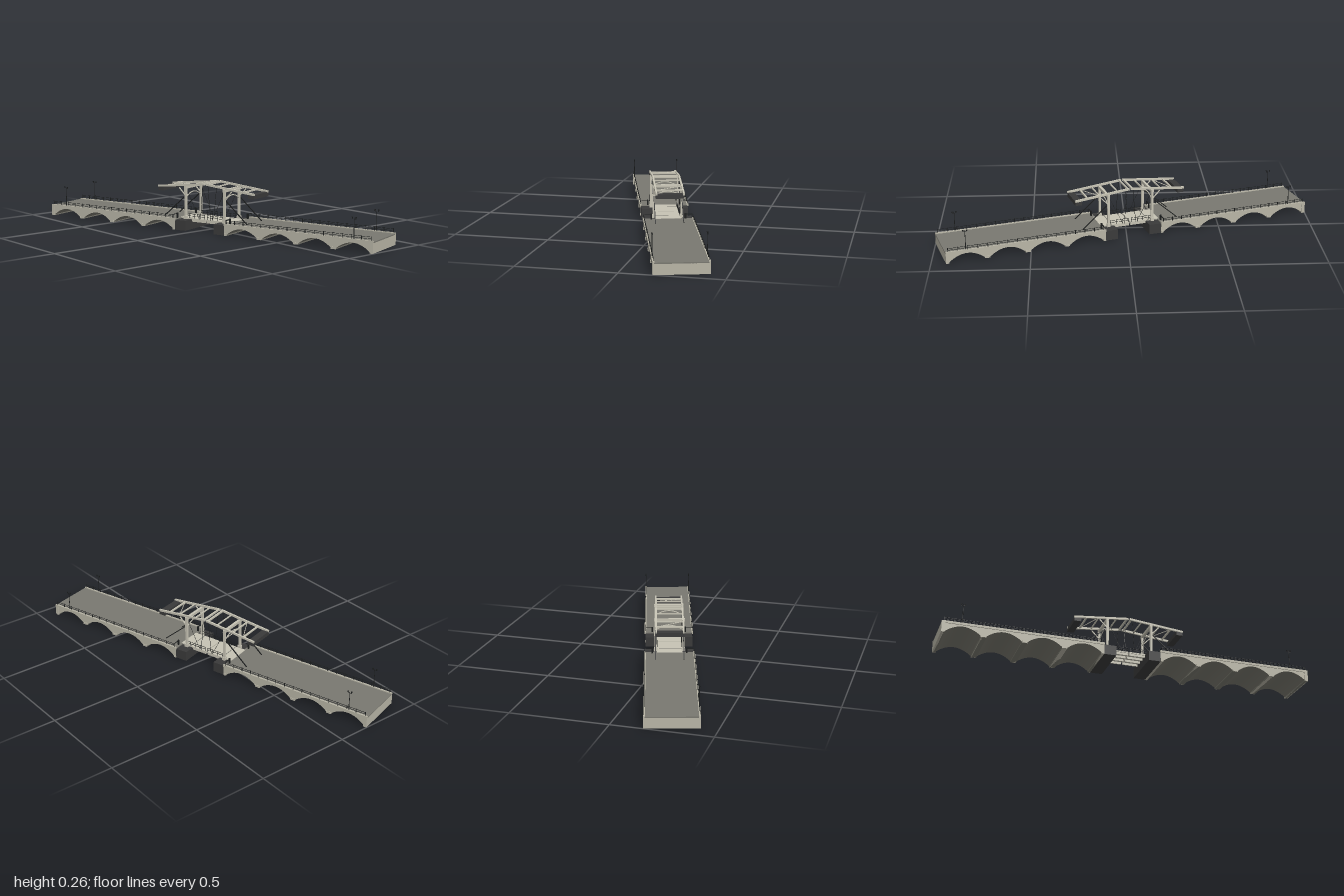
import * as THREE from 'three';

const mat = (name, color) => {
  const m = new THREE.MeshStandardMaterial({ color });
  m.name = name;
  return m;
};

export function createModel() {
  const stone = mat('stone', 0xb8b5a6);
  const road = mat('road', 0x797870);
  const vault = mat('vault', 0x77766c);
  const basalt = mat('basalt', 0x3a3a3a);
  const timber = mat('timber', 0xc6c3b4);
  const iron = mat('iron', 0x1c1e1e);

  const END = 1.004, START = 0.155, HALF = 0.133;
  const V = (x, y, z) => new THREE.Vector3(x, y, z);

  const box = (g, name, m, x0, x1, y0, y1, z0, z1) => {
    const b = new THREE.Mesh(new THREE.BoxGeometry(x1 - x0, y1 - y0, z1 - z0), m);
    b.position.set((x0 + x1) / 2, (y0 + y1) / 2, (z0 + z1) / 2);
    b.name = name;
    g.add(b);
    return b;
  };
  // Square bar between two points
  const bar = (g, name, m, a, b, w, h = w) => {
    const s = new THREE.Mesh(new THREE.BoxGeometry(w, h, a.distanceTo(b)), m);
    s.position.copy(a).add(b).multiplyScalar(0.5);
    s.lookAt(b);
    s.name = name;
    g.add(s);
    return s;
  };

  function approach() {
    const g = new THREE.Group();
    g.name = 'approach';
    // Four arched bays cut out of one wall profile
    const bays = 4, w = (END - 0.004 - START) / bays, half = 0.091;
    const s = new THREE.Shape();
    s.moveTo(START, 0);
    for (let i = 0; i < bays; i++) {
      const c = START + w * (i + 0.5);
      s.lineTo(c - half, 0);
      s.lineTo(c - half, 0.006);
      s.quadraticCurveTo(c, 0.08, c + half, 0.006);
      s.lineTo(c + half, 0);
    }
    s.lineTo(END - 0.004, 0);
    s.lineTo(END - 0.004, 0.052);
    s.lineTo(START, 0.052);
    s.closePath();
    const geo = new THREE.ExtrudeGeometry(s, { depth: 0.256, bevelEnabled: false, curveSegments: 14 });
    geo.translate(0, 0, -0.128);
    const arches = new THREE.Mesh(geo, [stone, vault]);
    arches.name = 'arches';
    g.add(arches);
    // Pier footings and end wall
    for (let i = 0; i < bays; i++) {
      const c = START + w * i;
      box(g, 'footing', stone, i ? c - 0.013 : c, c + 0.013, 0, 0.011, -0.131, 0.131);
    }
    box(g, 'endWall', stone, END - 0.018, END, 0, 0.053, -HALF, HALF);
    // Road slab and kerbs
    box(g, 'roadSlab', road, START - 0.002, END, 0.052, 0.058, -0.126, 0.126);
    for (const k of [-1, 1]) {
      const z = k * 0.1285;
      box(g, 'kerb', stone, START - 0.002, END, 0.051, 0.063, z - 0.0045, z + 0.0045);
      // Railing
      const n = 16, a = START + 0.012, b = END - 0.012;
      for (let i = 0; i <= n; i++) {
        const x = a + (b - a) * i / n;
        box(g, 'railPost', iron, x - 0.0013, x + 0.0013, 0.06, 0.084, z - 0.0013, z + 0.0013);
      }
      for (const y of [0.072, 0.081])
        box(g, 'handRail', iron, a, b, y - 0.0008, y + 0.0008, z - 0.0008, z + 0.0008);
      g.add(lamp(0.9, z));
    }
    return g;
  }

  function lamp(x, z) {
    const l = new THREE.Group();
    l.name = 'streetLamp';
    const post = new THREE.Mesh(new THREE.CylinderGeometry(0.0012, 0.0024, 0.108, 8), iron);
    post.position.y = 0.054;
    post.name = 'lampPost';
    l.add(post);
    bar(l, 'lampArm', iron, V(-0.011, 0.1, 0), V(0.011, 0.1, 0), 0.0014);
    for (const k of [-1, 1]) {
      const head = new THREE.Mesh(new THREE.CylinderGeometry(0.0038, 0.002, 0.009, 6), iron);
      head.position.set(k * 0.01, 0.106, 0);
      head.name = 'lantern';
      l.add(head);
    }
    l.position.set(x, 0.06, z);
    return l;
  }

  function tower() {
    const g = new THREE.Group();
    g.name = 'tower';
    const u = 0.122, top = 0.232;
    // Dark pier below the portal
    box(g, 'pier', basalt, 0.089, 0.155, 0, 0.054, -0.127, 0.127);
    // Portal columns, crossbeam and curved brace
    for (const k of [-1, 1]) {
      const z = k * 0.073;
      box(g, 'column', timber, u - 0.006, u + 0.006, 0.054, top, z - 0.006, z + 0.006);
      box(g, 'columnBase', timber, u - 0.009, u + 0.009, 0.054, 0.072, z - 0.009, z + 0.009);
      bar(g, 'backStay', iron, V(u + 0.01, 0.172, z), V(0.262, 0.058, z), 0.0045);
      bar(g, 'sideStrut', timber, V(u, 0.178, z), V(0.165, 0.222, z), 0.005);
      box(g, 'bollard', iron, 0.162, 0.17, 0.058, 0.086, k * 0.09 - 0.004, k * 0.09 + 0.004);
      bar(g, 'barrier', iron, V(0.166, 0.082, k * 0.09), V(0.166, 0.082, k * 0.124), 0.003);
    }
    box(g, 'crossbeam', timber, u - 0.007, u + 0.007, top - 0.014, top, -0.08, 0.08);
    const arc = new THREE.QuadraticBezierCurve3(V(u, 0.172, -0.068), V(u, 0.218, 0), V(u, 0.172, 0.068));
    const brace = new THREE.Mesh(new THREE.TubeGeometry(arc, 12, 0.003, 6), timber);
    brace.name = 'portalBrace';
    g.add(brace);
    return g;
  }

  function balance() {
    const g = new THREE.Group();
    g.name = 'balanceFrame';
    const y = u => 0.25 - 0.105 * u;
    // Sloping beams and the rods hung from them
    for (const k of [-1, 1]) {
      const z = k * 0.07;
      bar(g, 'balanceBeam', timber, V(0.004, y(0.004), z), V(0.303, y(0.303), z), 0.009, 0.011);
      bar(g, 'liftRod', iron, V(0.016, y(0.016), z), V(0.032, 0.057, z * 0.95), 0.0018);
      bar(g, 'stayRod', iron, V(0.112, 0.205, z), V(0.04, 0.057, z * 0.95), 0.0014);
    }
    for (const [u, w] of [[0.012, 0.009], [0.07, 0.006], [0.17, 0.006], [0.235, 0.008]])
      bar(g, 'crossTie', timber, V(u, y(u), -0.07), V(u, y(u), 0.07), w);
    bar(g, 'diagonalTie', timber, V(0.17, y(0.17), -0.068), V(0.235, y(0.235), 0.068), 0.003);
    // Counterweight
    box(g, 'counterweight', basalt, 0.266, 0.302, 0.195, 0.217, -0.073, 0.073);
    return g;
  }

  function leaf() {
    const g = new THREE.Group();
    g.name = 'liftingLeaf';
    box(g, 'leafDeck', timber, 0.003, 0.162, 0.052, 0.0595, -0.067, 0.067);
    for (const z of [-0.06, -0.02, 0.02, 0.06])
      box(g, 'leafGirder', timber, 0.004, 0.089, 0.04, 0.052, z - 0.003, z + 0.003);
    box(g, 'hingeStrip', road, 0.1, 0.104, 0.0595, 0.06, -0.066, 0.066);
    for (const z of [-0.065, 0.065]) {
      for (let i = 0; i < 4; i++) {
        const x = 0.008 + i * 0.033;
        box(g, 'leafPost', iron, x - 0.001, x + 0.001, 0.059, 0.083, z - 0.001, z + 0.001);
      }
      for (const y of [0.071, 0.082])
        box(g, 'leafRail', iron, 0.007, 0.118, y - 0.0008, y + 0.0008, z - 0.0008, z + 0.0008);
    }
    return g;
  }

  // Two identical halves turned about the middle, set askew
  const bridge = new THREE.Group();
  bridge.name = 'drawbridge';
  for (const turn of [0, Math.PI]) {
    const h = new THREE.Group();
    h.name = turn ? 'rightHalf' : 'leftHalf';
    h.add(approach(), tower(), balance(), leaf());
    h.rotation.y = turn;
    bridge.add(h);
  }
  bridge.rotation.y = 0.293;
  const model = new THREE.Group();
  model.name = 'model';
  model.add(bridge);
  return model;
}
